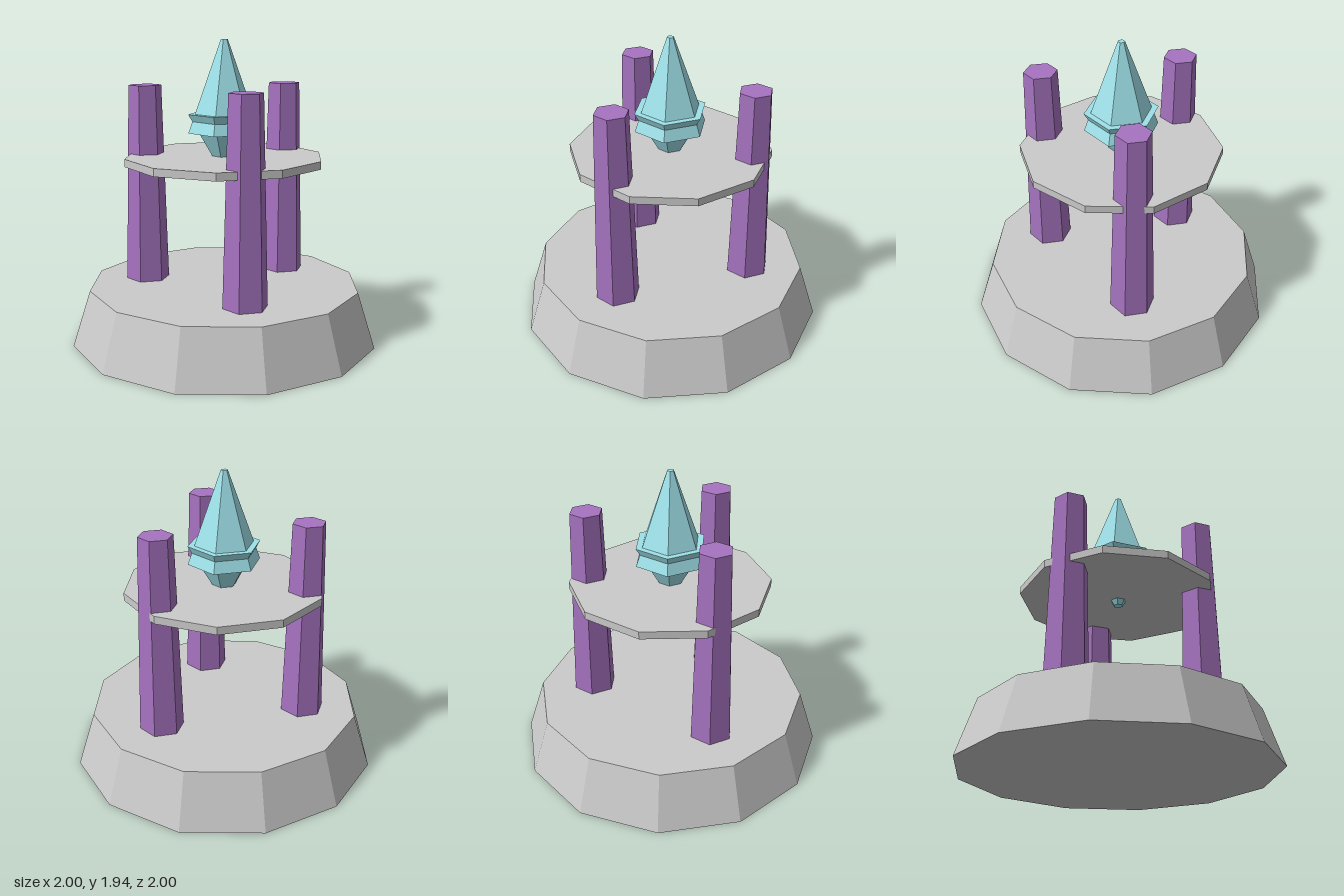
import * as THREE from 'three';

const stone = new THREE.MeshStandardMaterial({ color: 0xcccccc, flatShading: true });
const purple = new THREE.MeshStandardMaterial({ color: 0xa673c0, flatShading: true });
const crystal = new THREE.MeshStandardMaterial({ color: 0x9fe2ea, flatShading: true });

// Faceted frustum between two heights, with a corner on the x axis
function frustum(name, material, sides, rBottom, rTop, y0, y1, x = 0, z = 0) {
  const geometry = new THREE.CylinderGeometry(rTop, rBottom, y1 - y0, sides);
  geometry.rotateY(Math.PI / 2);
  const mesh = new THREE.Mesh(geometry, material);
  mesh.name = name;
  mesh.position.set(x, (y0 + y1) / 2, z);
  return mesh;
}

export function createModel() {
  const model = new THREE.Group();
  model.name = 'crystalShrine';

  // Twelve-sided sloping base and ten-sided raised platform
  model.add(frustum('base', stone, 12, 1, 0.885, 0, 0.36));
  model.add(frustum('platform', stone, 10, 0.645, 0.645, 1.155, 1.205));

  // Three tapered hexagonal pillars
  const pillars = [['frontPillar', 0, 0.53], ['backLeftPillar', 0.472, -0.235], ['backRightPillar', -0.472, -0.235]];
  for (const [name, x, z] of pillars) {
    model.add(frustum(name, purple, 6, 0.142, 0.107, 0.355, 1.65, x, z));
  }

  // Crystal: two overlapping hexagonal points, one up and one down
  const gem = new THREE.Group();
  gem.name = 'crystal';
  gem.add(frustum('upperCrystal', crystal, 6, 0.235, 0.022, 1.355, 1.945));
  gem.add(frustum('lowerCrystal', crystal, 6, 0.03, 0.235, 1.12, 1.475));
  model.add(gem);

  return model;
}
